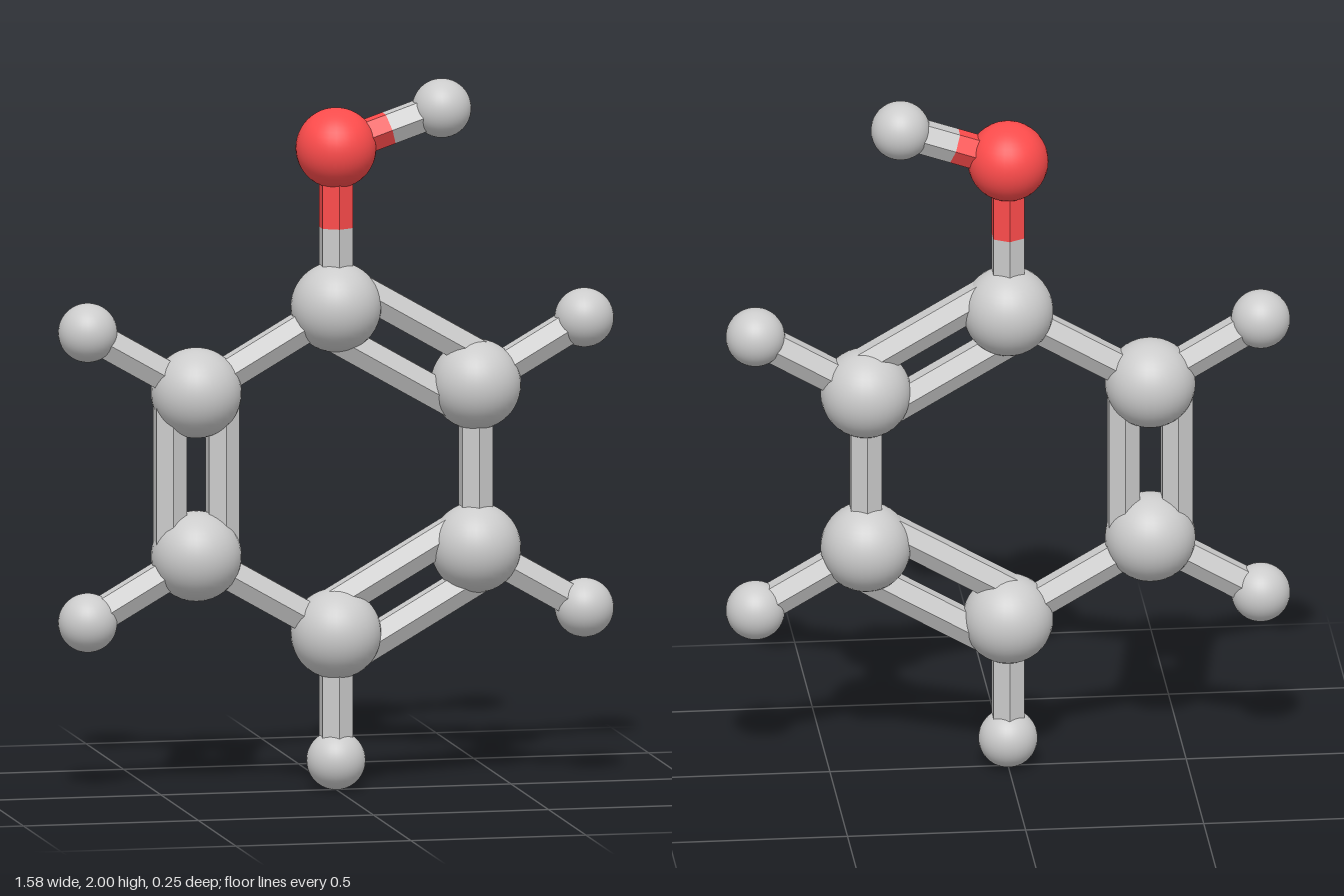
import * as THREE from 'three';

const BOND_R = 0.05, DOUBLE_OFFSET = 0.075;

export function createModel() {
  const model = new THREE.Group();
  model.name = 'moleculeModel';
  const grey = new THREE.MeshStandardMaterial({ color: 0xcccccc });
  const red = new THREE.MeshStandardMaterial({ color: 0xff4c4c });
  const greyFlat = new THREE.MeshStandardMaterial({ color: 0xcccccc, flatShading: true });
  const redFlat = new THREE.MeshStandardMaterial({ color: 0xff4c4c, flatShading: true });

  const kinds = {
    carbon: { radius: 0.127, ball: grey, stick: greyFlat },
    oxygen: { radius: 0.113, ball: red, stick: redFlat },
    hydrogen: { radius: 0.083, ball: grey, stick: greyFlat },
  };

  // Ball for one atom
  function atom(kind, x, y) {
    const mesh = new THREE.Mesh(new THREE.SphereGeometry(kinds[kind].radius, 32, 24), kinds[kind].ball);
    mesh.name = kind + 'Atom';
    mesh.position.set(x, y, 0);
    model.add(mesh);
    return { kind, pos: mesh.position };
  }

  // Hexagonal stick from one point to another
  function stick(from, to, material, name) {
    const dir = to.clone().sub(from);
    const mesh = new THREE.Mesh(new THREE.CylinderGeometry(BOND_R, BOND_R, dir.length(), 6), material);
    mesh.name = name;
    mesh.position.copy(from).add(to).multiplyScalar(0.5);
    mesh.rotation.z = Math.atan2(dir.y, dir.x) - Math.PI / 2;
    model.add(mesh);
  }

  // Bond: each half takes the colour of its atom; double bonds run side by side
  function bond(a, b, double = false) {
    const dir = b.pos.clone().sub(a.pos).normalize();
    const side = new THREE.Vector3(-dir.y, dir.x, 0);
    for (const offset of double ? [-DOUBLE_OFFSET, DOUBLE_OFFSET] : [0]) {
      const start = a.pos.clone().addScaledVector(side, offset);
      const end = b.pos.clone().addScaledVector(side, offset);
      const middle = start.clone().lerp(end, 0.5);
      stick(start, middle, kinds[a.kind].stick, a.kind + 'Bond');
      stick(middle, end, kinds[b.kind].stick, b.kind + 'Bond');
    }
  }

  // Six-sided carbon ring, clockwise from the top
  const centreY = 0.904;
  const onRing = (kind, i, r) => {
    const t = Math.PI / 2 - i * Math.PI / 3;
    return atom(kind, r * Math.cos(t), centreY + r * Math.sin(t));
  };
  const ring = [];
  for (let i = 0; i < 6; i++) ring.push(onRing('carbon', i, 0.461));
  ring.forEach((c, i) => bond(c, ring[(i + 1) % 6], i % 2 === 0));

  // Outer hydrogens on all but the top carbon
  for (let i = 1; i < 6; i++) bond(ring[i], onRing('hydrogen', i, 0.819));

  // Oxygen with its hydrogen on top
  const oxygen = atom('oxygen', 0, 1.814);
  bond(ring[0], oxygen);
  bond(oxygen, atom('hydrogen', 0.302, 1.917));

  return model;
}
